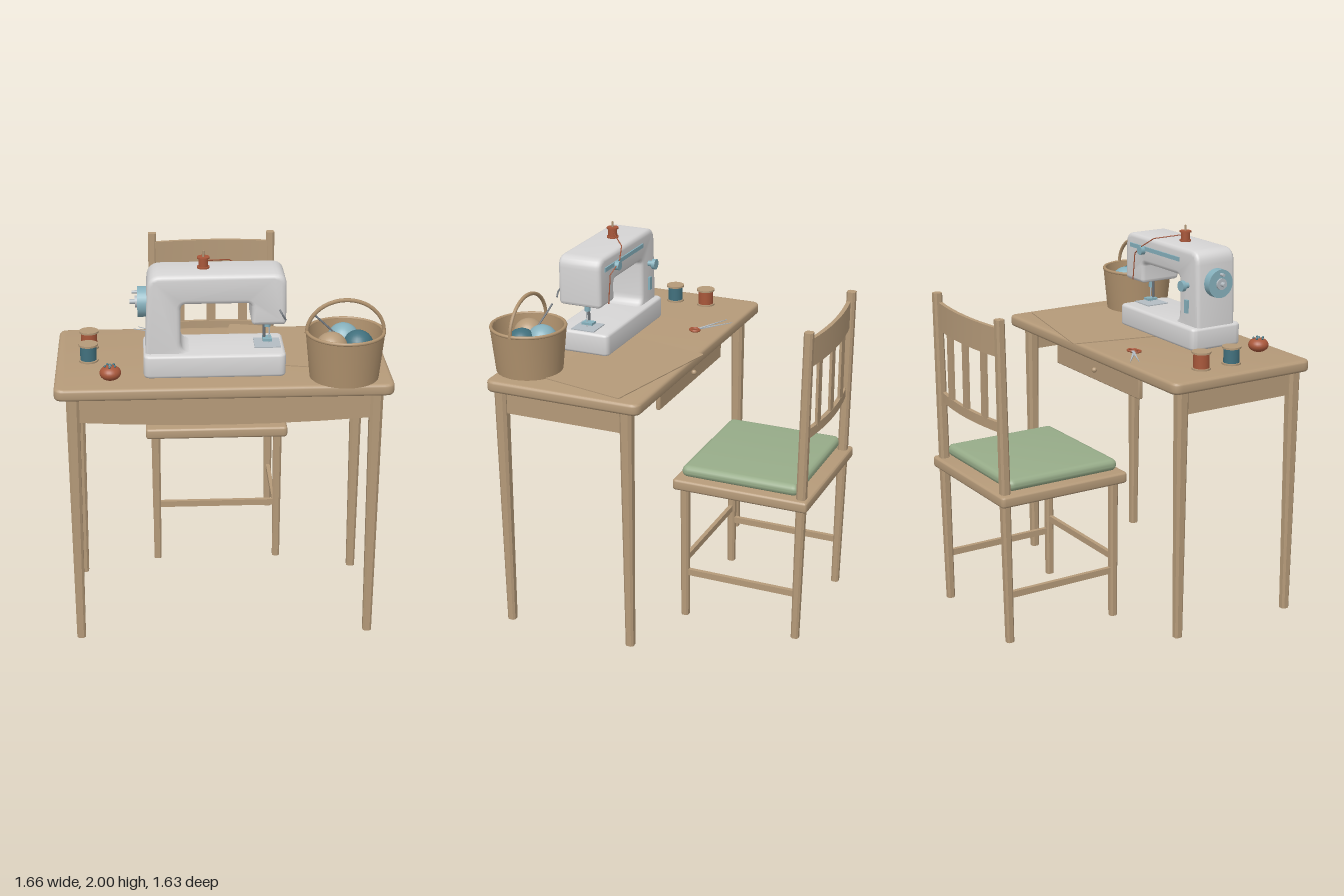
import * as THREE from 'three';
import { toCreasedNormals } from 'three/addons/utils/BufferGeometryUtils.js';

const mat = (name, color, side = THREE.FrontSide) => {
  const m = new THREE.MeshStandardMaterial({ color, side });
  m.name = name;
  return m;
};
const wood = mat('wood', 0xb59a79);
const wicker = mat('wicker', 0xb0926e, THREE.DoubleSide);
const fabric = mat('cushion green', 0x97ac89);
const enamel = mat('machine enamel', 0xd6d5d5);
const paleBlue = mat('pale blue', 0x86b0bc);
const teal = mat('teal', 0x41707d);
const rust = mat('rust red', 0xa8573a);
const steel = mat('steel', 0xb4bcc2);
const darkSteel = mat('dark steel', 0x6a7076);
const V = (x, y, z) => new THREE.Vector3(x, y, z);

function add(parent, name, geo, material, x = 0, y = 0, z = 0) {
  const m = new THREE.Mesh(geo, material);
  m.name = name;
  m.position.set(x, y, z);
  parent.add(m);
  return m;
}
const box = (w, h, d) => new THREE.BoxGeometry(w, h, d);
const cyl = (rt, rb, h, n = 24) => new THREE.CylinderGeometry(rt, rb, h, n);
const ball = (r) => new THREE.SphereGeometry(r, 24, 16);
const tube = (pts, r, n = 12) => new THREE.TubeGeometry(new THREE.CatmullRomCurve3(pts), n, r, 6);

// Polygon of [x, y, cornerRadius] points
function roundedPoly(pts) {
  const s = new THREE.Shape();
  pts.forEach(([x, y, r], i) => {
    const c = new THREE.Vector2(x, y);
    const toward = (q) => new THREE.Vector2(q[0], q[1]).sub(c).setLength(r).add(c);
    const a = toward(pts[(i + pts.length - 1) % pts.length]);
    const b = toward(pts[(i + 1) % pts.length]);
    if (i) s.lineTo(a.x, a.y); else s.moveTo(a.x, a.y);
    if (r) s.quadraticCurveTo(x, y, b.x, b.y);
  });
  s.closePath();
  return s;
}
function bevelled(shape, depth, b, seg = 3) {
  const g = new THREE.ExtrudeGeometry(shape, {
    depth: depth - 2 * b, bevelEnabled: b > 0, bevelThickness: b, bevelSize: b,
    bevelOffset: -b, bevelSegments: seg, curveSegments: 6,
  });
  g.translate(0, 0, -(depth - 2 * b) / 2);
  return toCreasedNormals(g, 0.6);
}
const rect = (w, d, r) => roundedPoly([[-w / 2, -d / 2, r], [w / 2, -d / 2, r], [w / 2, d / 2, r], [-w / 2, d / 2, r]]);
// Flat slab with rounded plan corners, centred
const slab = (w, h, d, r, b) => bevelled(rect(w, d, r), h, b).rotateX(-Math.PI / 2);

// Chamfered square post between two points, tapering from bottom to top
function post(parent, name, from, to, wBottom, wTop) {
  const h = to.y - from.y, c = 0.22;
  const g = new THREE.CylinderGeometry(1, 1, h, 8);
  const p = g.attributes.position;
  for (let i = 0; i < p.count; i++) {
    const t = p.getY(i) / h + 0.5, w = wBottom + (wTop - wBottom) * t;
    const x = p.getX(i), z = p.getZ(i), hub = Math.hypot(x, z) < 0.01;
    const a = Math.atan2(z, x) + Math.PI / 8;
    const n = Math.round(a / (Math.PI / 4)) * (Math.PI / 4) - Math.PI / 8;
    const snap = (v) => (hub ? 0 : Math.sign(v) * (Math.abs(v) > 0.7 ? 0.5 : 0.5 - c) * w);
    const ax = Math.cos(n + Math.PI / 4), az = Math.sin(n + Math.PI / 4);
    p.setXYZ(i, (hub ? 0 : snap(ax)) + from.x + (to.x - from.x) * t, p.getY(i),
      (hub ? 0 : snap(az)) + from.z + (to.z - from.z) * t);
  }
  add(parent, name, toCreasedNormals(g.rotateY(0), 0.3), wood, 0, from.y + h / 2, 0);
}

function buildTable(root) {
  const t = new THREE.Group(); t.name = 'table'; root.add(t);
  add(t, 'tableTop', slab(1.66, 0.06, 0.845, 0.05, 0.015), wood, -0.002, 1.365, 0.323);
  for (const x of [-1, 1]) {
    for (const z of [0, 0.696]) post(t, 'tableLeg', V(x * 0.741, 0, z), V(x * 0.741, 1.336, z), 0.044, 0.066);
    add(t, 'sideApron', box(0.025, 0.135, 0.64), wood, x * 0.74, 1.269, 0.348);
  }
  // Front apron with a bowed lower edge
  const s = new THREE.Shape();
  s.moveTo(-0.71, 1.336); s.lineTo(-0.71, 1.213);
  s.quadraticCurveTo(0, 1.165, 0.71, 1.213); s.lineTo(0.71, 1.336);
  add(t, 'frontApron', bevelled(s, 0.025, 0), wood, 0, 0, 0.705);
  add(t, 'drawerFront', bevelled(rect(0.82, 0.135, 0.005), 0.025, 0.005, 1), wood, 0, 1.267, -0.018);
  add(t, 'drawerKnob', ball(0.014), wood, 0, 1.26, -0.043);
}

function buildChair(root) {
  const c = new THREE.Group(); c.name = 'chair'; root.add(c);
  add(c, 'seat', slab(0.773, 0.058, 0.737, 0.02, 0.012), wood, -0.002, 0.781, -0.45);
  add(c, 'cushion', slab(0.7, 0.062, 0.64, 0.035, 0.028), fabric, -0.002, 0.846, -0.436);
  for (const x of [-0.333, 0.333]) {
    post(c, 'frontChairLeg', V(x, 0, -0.137), V(x, 0.755, -0.137), 0.04, 0.046);
    post(c, 'backChairLeg', V(x, 0, -0.762), V(x, 0.81, -0.775), 0.04, 0.05);
    post(c, 'backPost', V(x, 0.8, -0.775), V(x, 1.706, -0.788), 0.05, 0.046);
    add(c, 'sideStretcher', box(0.022, 0.034, 0.6), wood, x, 0.26, -0.45);
  }
  add(c, 'frontStretcher', box(0.64, 0.034, 0.022), wood, 0, 0.335, -0.137);
  // Rails bow backwards between the posts
  const rail = (name, h, y, z) => {
    const g = box(0.64, h, 0.022).toNonIndexed() && new THREE.BoxGeometry(0.64, h, 0.022, 14, 1, 1);
    const p = g.attributes.position;
    for (let i = 0; i < p.count; i++) p.setZ(i, p.getZ(i) - 0.03 * (1 - (p.getX(i) / 0.32) ** 2));
    g.computeVertexNormals();
    add(c, name, g, wood, 0, y, z);
  };
  rail('topRail', 0.145, 1.585, -0.778);
  rail('lowerRail', 0.05, 1.15, -0.772);
  for (const x of [-0.18, 0, 0.18]) add(c, 'backSlat', box(0.052, 0.36, 0.014), wood, x, 1.345, x ? -0.796 : -0.804);
}

function buildMachine(root) {
  const m = new THREE.Group(); m.name = 'sewingMachine'; root.add(m);
  add(m, 'machineBase', slab(0.698, 0.118, 0.31, 0.035, 0.015), enamel, -0.045, 1.456, 0.467);
  const body = roundedPoly([
    [-0.385, 1.48, 0], [-0.37, 1.913, 0.07], [0.304, 1.913, 0.06], [0.304, 1.653, 0.02], [0.135, 1.653, 0.02],
    [0.135, 1.765, 0.025], [-0.21, 1.765, 0.03], [-0.21, 1.515, 0.055], [-0.14, 1.513, 0], [-0.14, 1.48, 0],
  ]);
  add(m, 'machineBody', bevelled(body, 0.24, 0.022), enamel, 0, 0, 0.468);
  // Handwheel on the column side
  const onX = (r, h, n) => cyl(r, r, h, n).rotateZ(Math.PI / 2);
  add(m, 'handwheel', onX(0.075, 0.045, 32), paleBlue, -0.397, 1.745, 0.465);
  add(m, 'handwheelHub', onX(0.03, 0.012), steel, -0.425, 1.745, 0.465);
  add(m, 'handwheelAxle', onX(0.012, 0.035), steel, -0.44, 1.745, 0.465);
  add(m, 'handwheelGrip', onX(0.008, 0.03), steel, -0.43, 1.795, 0.465);
  // Controls on the operator side
  const onZ = (r, h) => cyl(r, r, h).rotateX(Math.PI / 2);
  add(m, 'stitchDial', onZ(0.028, 0.02), paleBlue, -0.29, 1.727, 0.312);
  add(m, 'stitchDialStem', onZ(0.015, 0.035), paleBlue, -0.29, 1.727, 0.335);
  add(m, 'reverseLever', box(0.024, 0.07, 0.016), paleBlue, -0.29, 1.615, 0.343);
  add(m, 'trimStrip', box(0.46, 0.022, 0.008), paleBlue, 0.02, 1.85, 0.345);
  add(m, 'tensionDial', onZ(0.024, 0.026), paleBlue, 0.125, 1.84, 0.332);
  // Needle, presser foot and plate
  add(m, 'needleClamp', cyl(0.016, 0.016, 0.05, 12), paleBlue, 0.22, 1.63, 0.465);
  add(m, 'presserBar', cyl(0.007, 0.007, 0.1, 8), darkSteel, 0.205, 1.6, 0.465);
  add(m, 'needle', cyl(0.005, 0.002, 0.1, 8), steel, 0.23, 1.565, 0.465);
  add(m, 'presserFoot', box(0.045, 0.012, 0.06), paleBlue, 0.22, 1.54, 0.46);
  add(m, 'needlePlate', box(0.13, 0.006, 0.13), steel, 0.22, 1.517, 0.465);
  add(m, 'threadLever', tube([V(0.27, 1.735, 0.588), V(0.285, 1.71, 0.6), V(0.3, 1.685, 0.6)], 0.005), darkSteel);
  // Top spool and running thread
  add(m, 'spoolPin', cyl(0.005, 0.005, 0.09, 8), wood, -0.095, 1.955, 0.465);
  add(m, 'topThread', cyl(0.024, 0.024, 0.05), rust, -0.095, 1.942, 0.465);
  for (const y of [1.918, 1.966]) add(m, 'topSpoolFlange', cyl(0.031, 0.031, 0.008), rust, -0.095, y, 0.465);
  const path = [V(-0.075, 1.945, 0.45), V(0.035, 1.917, 0.352), V(0.12, 1.86, 0.325), V(0.2, 1.81, 0.34), V(0.22, 1.66, 0.342)];
  const run = new THREE.CurvePath();
  for (let i = 1; i < path.length; i++) run.add(new THREE.LineCurve3(path[i - 1], path[i]));
  add(m, 'thread', new THREE.TubeGeometry(run, 40, 0.003, 5), rust);
}

function buildBasket(root) {
  const b = new THREE.Group(); b.name = 'yarnBasket'; b.position.set(0.59, 1.395, 0.613); root.add(b);
  const wall = [[0, 0], [0.17, 0], [0.194, 0.235], [0.18, 0.235], [0.158, 0.012], [0, 0.012]];
  add(b, 'basketWall', toCreasedNormals(new THREE.LatheGeometry(wall.map((p) => new THREE.Vector2(...p)), 32), 0.6), wicker);
  add(b, 'basketRim', new THREE.TorusGeometry(0.188, 0.009, 8, 40).rotateX(Math.PI / 2), wicker, 0, 0.232, 0);
  const arch = [];
  for (let i = 0; i <= 12; i++) arch.push(V(-0.19 * Math.cos(i * Math.PI / 12), 0.225 + 0.167 * Math.sin(i * Math.PI / 12), 0));
  add(b, 'basketHandle', tube(arch, 0.01, 32), wicker);
  add(b, 'paleYarn', ball(0.08), paleBlue, 0, 0.165, -0.078);
  add(b, 'tealYarn', ball(0.076), teal, 0.064, 0.16, 0.004);
  add(b, 'tanYarn', ball(0.08), wood, -0.07, 0.16, 0.036);
  add(b, 'knittingNeedle', tube([V(-0.155, 0.305, -0.058), V(-0.09, 0.25, -0.04), V(0, 0.17, -0.01)], 0.005), darkSteel);
}

function buildNotions(root) {
  const n = new THREE.Group(); n.name = 'sewingNotions'; root.add(n);
  const sheet = add(n, 'patternSheet', slab(0.73, 0.005, 0.54, 0.012, 0), wood, 0.37, 1.398, 0.212);
  sheet.rotation.y = -0.21;
  // Thread spools
  for (const [z, yarn] of [[0.17, rust], [0.356, teal]]) {
    add(n, 'spoolThread', cyl(0.041, 0.041, 0.075), yarn, -0.67, 1.441, z);
    for (const y of [1.399, 1.483]) add(n, 'spoolFlange', cyl(0.049, 0.049, 0.01), wood, -0.67, y, z);
  }
  // Pincushion with pin heads
  add(n, 'pincushion', ball(0.053).scale(1, 0.7, 1), rust, -0.557, 1.432, 0.613);
  add(n, 'pincushionTop', cyl(0.004, 0.014, 0.012, 6), teal, -0.557, 1.472, 0.613);
  for (let i = 0; i < 5; i++) {
    const a = i * 1.257 + 0.4;
    add(n, 'pinHead', ball(0.006), teal, -0.557 + 0.026 * Math.cos(a), 1.468, 0.613 + 0.026 * Math.sin(a));
  }
  // Scissors lying open
  const sc = new THREE.Group(); sc.name = 'scissors'; sc.position.set(-0.275, 1.402, 0.025); n.add(sc);
  for (const [ang, dx, dz, y] of [[-0.68, 0.03, 0.035, 0.002], [-0.42, 0.048, 0.022, 0.006]]) {
    const blade = new THREE.Shape([new THREE.Vector2(0.03, -0.008), new THREE.Vector2(0.03, 0.008), new THREE.Vector2(-0.185, 0)]);
    const g = new THREE.ExtrudeGeometry(blade, { depth: 0.004, bevelEnabled: false }).rotateX(-Math.PI / 2);
    add(sc, 'scissorBlade', g, steel, 0, y, 0).rotation.y = ang;
    add(sc, 'scissorHandle', new THREE.TorusGeometry(0.023, 0.006, 8, 20).rotateX(Math.PI / 2), rust, dx, y, dz);
  }
}

export function createModel() {
  const root = new THREE.Group();
  root.name = 'sewingCorner';
  buildTable(root);
  buildChair(root);
  buildMachine(root);
  buildBasket(root);
  buildNotions(root);
  return root;
}
